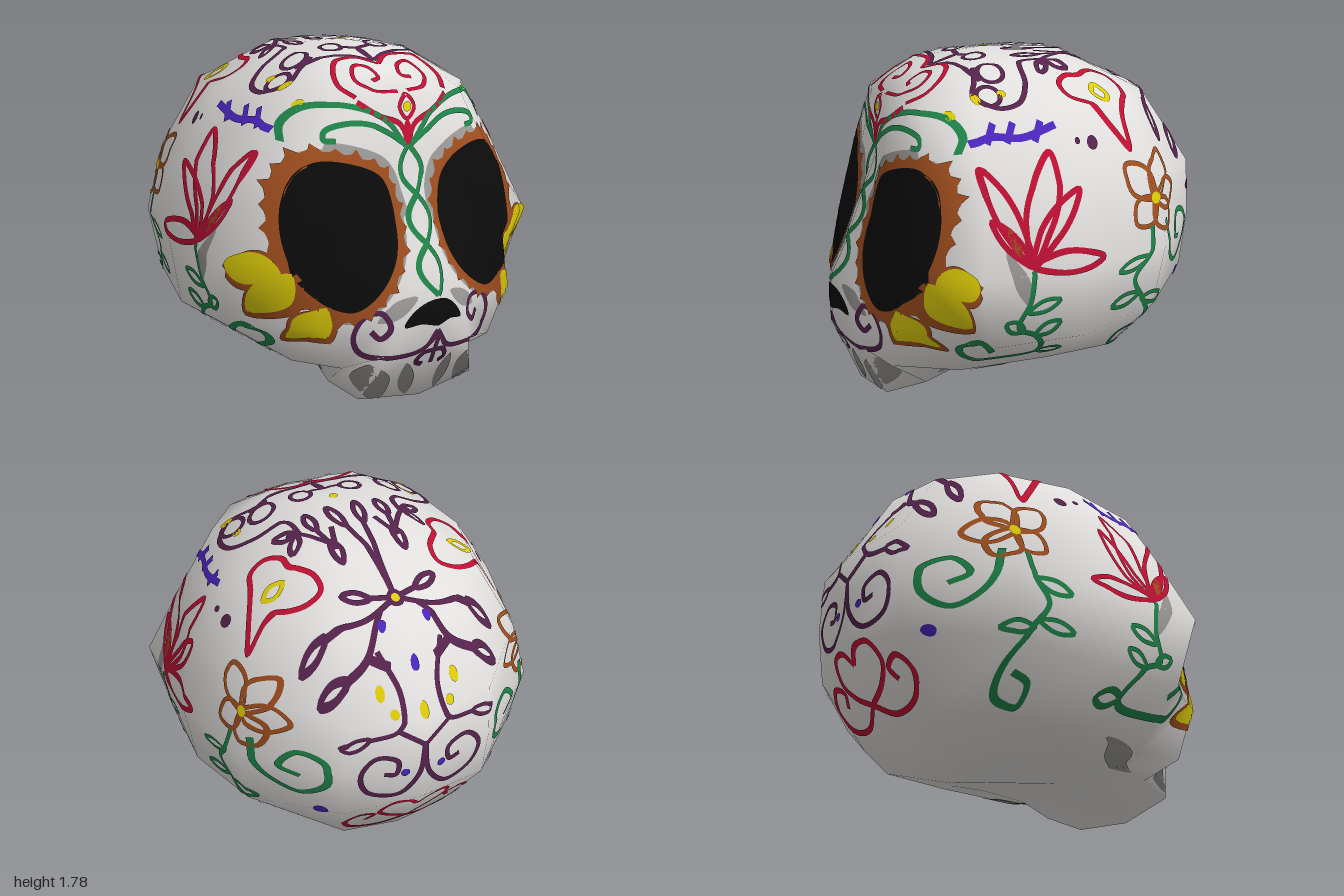
import * as THREE from 'three';

const paint = (name, color) => {
  const m = new THREE.MeshStandardMaterial({ color });
  m.name = name;
  return m;
};

export function createModel() {
  const model = new THREE.Group();
  model.name = 'paintedSkull';
  const bone = paint('bone', 0xe2e0de), grey = paint('greyShade', 0x9c9a98), black = paint('black', 0x0c0c0c);
  const orange = paint('burntOrange', 0xa04e1e), yellow = paint('yellow', 0xdccb08), green = paint('green', 0x1f8449);
  const red = paint('red', 0xbe1033), purple = paint('purple', 0x55224c), blue = paint('blue', 0x4a25bd);

  // Skull: rings from crown to jaw; heights at front, side and back, then half outline [x, z] from front to back
  const rings = [
    [[1.66, 1.72, 1.73], [[0, .5], [.13, .48], [.25, .42], [.31, .25], [.33, 0], [.3, -.2], [.17, -.31], [0, -.33]]],
    [[1.55, 1.54, 1.53], [[0, .7], [.2, .68], [.4, .62], [.58, .42], [.65, -.05], [.55, -.45], [.3, -.68], [0, -.75]]],
    [[1.25, 1.2, 1.1], [[0, .73], [.2, .75], [.57, .66], [.79, .43], [.86, -.05], [.74, -.55], [.39, -.93], [0, -1]]],
    [[.78, .8, .85], [[0, .91], [.2, .84], [.6, .76], [.96, .53], [.96, -.06], [.84, -.55], [.4, -.94], [0, -1]]],
    [[.6, .42, .6], [[0, 1], [.22, .93], [.59, .83], [.88, .45], [.9, -.05], [.78, -.52], [.4, -.9], [0, -1]]],
    [[.35, .18, .18], [[0, 1], [.25, .94], [.47, .83], [.54, .48], [.56, 0], [.53, -.4], [.3, -.68], [0, -.73]]],
    [[0, .13, .02], [[0, .85], [.36, .82], [.41, .62], [.36, .4], [.33, .1], [.28, -.15], [.15, -.23], [0, -.23]]],
  ];
  const pos = [], idx = [], N = 14;
  for (const [[yf, ys, yb], half] of rings) {
    for (let c = 0; c < N; c++) {
      const k = c < 8 ? c : N - c;
      const y = k < 4 ? yf + (ys - yf) * k / 3 : ys + (yb - ys) * (k - 4) / 3;
      pos.push(half[k][0] * (c < 8 ? 1 : -1), y, half[k][1]);
    }
  }
  const crown = rings.length * N, base = crown + 1, last = (rings.length - 1) * N;
  pos.push(0, 1.77, .13, 0, .13, .35);
  for (let c = 0; c < N; c++) {
    const d = (c + 1) % N;
    idx.push(crown, c, d, base, last + d, last + c);
    for (let r = 0; r < last; r += N) {
      const p = r + c, q = p + N, t = r + d, s = t + N;
      idx.push(...(c < 7 ? [p, q, s, p, s, t] : [p, q, t, q, s, t]));
    }
  }
  const skullGeo = new THREE.BufferGeometry();
  skullGeo.setAttribute('position', new THREE.Float32BufferAttribute(pos, 3));
  skullGeo.setIndex(idx);
  skullGeo.computeVertexNormals();
  const skull = new THREE.Mesh(skullGeo, bone);
  skull.name = 'skull';
  model.add(skull);

  // Lay a flat point onto the skull from one direction
  const ray = new THREE.Raycaster();
  const aim = {
    front: (u, v) => [[u, v, 4], [0, 0, -1], [0, .8]],
    back: (u, v) => [[u, v, -4], [0, 0, 1], [0, .8]],
    side: (u, v) => [[4, v, u], [-1, 0, 0], [0, .8]],
    top: (u, v) => [[u, 4, v], [0, -1, 0], [0, 0]],
  };
  const project = (view, u, v) => {
    for (let i = 0; i < 40; i++) {
      const [o, d, mid] = aim[view](u, v);
      ray.set(new THREE.Vector3(...o), new THREE.Vector3(...d));
      const hit = ray.intersectObject(skull)[0];
      if (hit) return hit;
      u += (mid[0] - u) * .015 + 1e-5;
      v += (mid[1] - v) * .015;
    }
    return { point: new THREE.Vector3(0, .8, 0), normal: new THREE.Vector3(0, 1, 0) };
  };
  // Grid of flat points (rows x cols) becomes a thin painted skin, repeated for each side
  const skin = (name, mat, view, grid, lift, sides) => {
    const hits = grid.flat().map(([u, v]) => project(view, u, v)), cols = grid[0].length;
    for (const s of sides) {
      const flip = p => new THREE.Vector3(p.x * s, p.y, p.z);
      const n = hits.map(h => flip(h.normal));
      const p = hits.map((h, i) => flip(h.point).addScaledVector(n[i], lift));
      const faces = [];
      const tri = (a, b, c) => {
        const f = p[b].clone().sub(p[a]).cross(p[c].clone().sub(p[a]));
        faces.push(...(f.dot(n[a]) > 0 ? [a, b, c] : [a, c, b]));
      };
      for (let r = 0; r < grid.length - 1; r++) for (let c = 0; c < cols - 1; c++) {
        const a = r * cols + c, b = a + cols;
        tri(a, b, b + 1);
        tri(a, b + 1, a + 1);
      }
      const g = new THREE.BufferGeometry().setFromPoints(p);
      g.setAttribute('normal', new THREE.Float32BufferAttribute(n.flatMap(q => q.toArray()), 3));
      g.setIndex(faces);
      const mesh = new THREE.Mesh(g, mat);
      mesh.name = name;
      model.add(mesh);
    }
  };
  const BOTH = [1, -1], ONE = [1];
  const curve = (pts, closed) => new THREE.CatmullRomCurve3(pts.map(([u, v]) => new THREE.Vector3(u, v, 0)), closed);
  // Brush line of even width
  const line = (name, mat, view, pts, { w = .028, closed = false, sides = BOTH, lift = .006 } = {}) => {
    const c = curve(pts, closed), n = Math.max(8, Math.ceil(c.getLength() / .016)), grid = [];
    for (let i = 0; i <= n; i++) {
      const p = c.getPoint(i / n), t = c.getTangent(i / n);
      grid.push([[p.x - t.y * w / 2, p.y + t.x * w / 2], [p.x + t.y * w / 2, p.y - t.x * w / 2]]);
    }
    skin(name, mat, view, grid, lift, sides);
  };
  // Filled shape between two scales of an outline
  const fill = (name, mat, view, outline, mid, { from = 0, to = () => 1, lift = .006, steps = 6, sides = BOTH } = {}) => {
    const grid = [];
    for (let k = 0; k <= steps; k++) grid.push(outline.map(([u, v], i) => {
      const f = from + (to(i, u, v) - from) * k / steps;
      return [mid[0] + (u - mid[0]) * f, mid[1] + (v - mid[1]) * f];
    }));
    skin(name, mat, view, grid, lift, sides);
  };
  const smooth = (pts, n) => curve(pts, true).getPoints(n).map(p => [p.x, p.y]);
  const circle = (u, v, r, n = 12) => Array.from({ length: n + 1 }, (_, i) =>
    [u + r * Math.cos(i * 2 * Math.PI / n), v + r * Math.sin(i * 2 * Math.PI / n)]);
  const leaf = ([a, b], [c, d], w) => {
    const at = (t, k) => [a + (c - a) * t - (d - b) * k, b + (d - b) * t + (c - a) * k];
    const k = w / 2 / Math.hypot(c - a, d - b);
    return [at(0, 0), at(.3, k * .8), at(.55, k), at(.8, k * .7), at(1, 0), at(.8, -k * .7), at(.55, -k), at(.3, -k * .8)];
  };
  const petal = (name, mat, view, a, b, w, o) =>
    fill(name, mat, view, smooth(leaf(a, b, w), 24), [(a[0] + b[0]) / 2, (a[1] + b[1]) / 2], { steps: 4, ...o });
  const loop = (name, mat, view, a, b, w, o) => line(name, mat, view, leaf(a, b, w), { closed: true, w: .024, ...o });
  const dot = (name, mat, view, u, v, r, o) => fill(name, mat, view, circle(u, v, r), [u, v], { steps: 2, ...o });

  // Eye sockets with a ragged orange border, grey shade and yellow petals
  const eye = smooth([[.55, 1.25], [.67, 1.12], [.71, .93], [.67, .72], [.57, .59], [.42, .53], [.27, .61],
    [.16, .77], [.135, .98], [.19, 1.16], [.35, 1.24]], 125);
  const mid = [.42, .9], tooth = [0, .05, .11, .03, .01];
  const rim = (i, u) => 1.11 + Math.max(0, u - .4) * .22 + tooth[i % 5] * (i % 10 < 5 ? 1 : .65);
  fill('eyeSocket', black, 'front', eye, mid, { lift: .008, steps: 10 });
  fill('eyeShade', grey, 'front', eye, mid, { from: 1.05, to: (i, u, v) => v > .95 && u < .45 ? 1.26 : 1.16, lift: .003, steps: 4 });
  fill('eyeBorder', orange, 'front', eye, mid, { from: .98, to: rim, lift: .007, steps: 5 });
  for (const [a, b, w] of [[[.71, .71], [.95, .8], .17], [[.67, .73], [.82, .52], .17], [[.55, .57], [.66, .38], .15]]) {
    petal('cheekPetalEdge', orange, 'front', [a[0] - .02, a[1]], [b[0] + .005, b[1] - .025], w + .05, { lift: .008 });
    petal('cheekPetal', yellow, 'front', a, b, w, { lift: .0125 });
  }

  // Nose, shaded teeth and the curls around the mouth
  fill('noseOpening', black, 'front', smooth([[0, .565], [.08, .54], [.15, .48], [.175, .43], [.09, .44], [0, .425],
    [-.09, .44], [-.175, .43], [-.15, .48], [-.08, .54]], 40), [0, .49], { lift: .008, sides: ONE });
  petal('noseShade', grey, 'front', [.1, .58], [.3, .46], .08, { lift: .003 });
  petal('toothShade', grey, 'front', [.14, .23], [.09, .03], .09);
  petal('toothShade', grey, 'front', [.33, .23], [.24, .03], .15);
  petal('jawShade', grey, 'side', [.55, .13], [.22, .2], .05);
  line('mouthCurl', purple, 'front', [[0, .4], [.08, .3], [.25, .28], [.38, .31], [.42, .4], [.37, .5], [.28, .51],
    [.24, .43], [.29, .38], [.33, .42]]);
  line('chinCurl', purple, 'front', [[0, .29], [.06, .28], [.09, .23], [.05, .21]]);
  line('chinStem', purple, 'front', [[0, .4], [0, .21]], { sides: ONE });

  // Green braid on the nose bridge and brow sprays
  line('noseBraid', green, 'front', Array.from({ length: 25 }, (_, i) => [.065 * Math.sin(i * Math.PI / 8), 1.3 - i * .03]));
  line('browSpray', green, 'front', [[.02, 1.3], [.15, 1.45], [.35, 1.52], [.5, 1.51], [.6, 1.43], [.62, 1.35]]);
  line('browSpray', green, 'front', [[.03, 1.31], [.12, 1.37], [.22, 1.42], [.34, 1.43], [.45, 1.4], [.46, 1.36], [.4, 1.35]]);

  // Forehead heart
  line('foreheadHeart', red, 'front', [[0, 1.32], [.05, 1.41], [.17, 1.46], [.27, 1.53]]);
  line('foreheadHeart', red, 'top', [[.27, .65], [.31, .55], [.25, .43], [.1, .39], [0, .46]]);
  line('foreheadScroll', red, 'top', [[.03, .67], [.15, .64], [.21, .56], [.17, .48], [.09, .5], [.07, .56], [.12, .58]], { w: .022 });
  petal('foreheadStem', red, 'front', [0, 1.43], [0, 1.29], .06, { sides: ONE });
  line('foreheadGem', red, 'front', [[0, 1.55], [.045, 1.49], [0, 1.43], [-.045, 1.49]], { closed: true, sides: ONE, w: .022 });
  dot('foreheadGemCentre', yellow, 'front', 0, 1.49, .026, { sides: ONE, lift: .009 });

  // Lotus and vine on the temples
  for (const [u, v, w] of [[.44, 1.29, .11], [.43, 1.06, .07], [.08, 1.35, .15], [-.03, 1.18, .1], [-.14, .84, .1]])
    loop('lotusPetal', red, 'side', [.25, .84], [u, v], w, { w: .03 });
  petal('lotusBud', orange, 'side', [.3, .88], [.35, 1.03], .05);
  petal('templeShade', grey, 'side', [.38, .92], [.25, .62], .08, { lift: .003 });
  line('templeVine', green, 'side', [[.25, .82], [.26, .66], [.31, .52], [.21, .46], [.15, .32], [.35, .3], [.52, .33],
    [.56, .41], [.49, .45], [.42, .38]]);
  for (const [a, b] of [[[.27, .6], [.1, .65]], [[.28, .5], [.38, .55]], [[.22, .47], [.09, .53]], [[.15, .33], [.01, .31]]])
    loop('templeLeaf', green, 'side', a, b, .06);

  // Side flower with its vine
  for (const [u, v] of [[.17, .18], [-.09, .21], [-.2, 0], [-.1, -.16], [.14, -.11]])
    loop('flowerPetal', orange, 'side', [-.51, 1.06], [-.51 + u, 1.06 + v], .15);
  dot('flowerCentre', yellow, 'side', -.51, 1.06, .03, { lift: .009 });
  line('flowerVine', green, 'side', [[-.47, .93], [-.45, .8], [-.36, .67], [-.43, .54], [-.5, .38], [-.47, .25],
    [-.36, .22], [-.36, .31], [-.45, .35]]);
  line('flowerScroll', green, 'side', [[-.58, .94], [-.64, .73], [-.75, .65], [-.86, .74], [-.86, .87], [-.75, .91],
    [-.7, .81], [-.77, .77]]);
  for (const [a, b] of [[[-.44, .78], [-.25, .73]], [[-.42, .54], [-.57, .53]], [[-.4, .58], [-.22, .54]]])
    loop('flowerLeaf', green, 'side', a, b, .06);

  // Blue ticks and scattered dots
  line('blueSprig', blue, 'side', [[.46, 1.4], [.35, 1.43], [.2, 1.42], [.02, 1.47]], { w: .034 });
  for (const u of [.38, .28, .14]) line('blueTick', blue, 'side', [[u, 1.4], [u - .05, 1.49]], { w: .034 });
  dot('purpleDot', purple, 'side', -.17, 1.37, .033);
  dot('purpleDot', purple, 'side', -.08, 1.39, .016);
  dot('templeDot', yellow, 'side', .51, 1.52, .024);
  dot('templeDot', yellow, 'side', .37, 1.59, .022);
  for (const [u, v] of [[0, -.85], [.12, -.72]]) dot('blueDot', blue, 'top', u, v, .022, { sides: u ? BOTH : ONE });
  for (const [u, v] of [[0, .12], [0, -.97], [.5, .23], [.2, -.88]])
    dot('yellowDot', yellow, 'top', u, v, .024, { sides: u ? BOTH : ONE });

  // Crown hearts
  line('crownHeart', red, 'top', [[.69, -.4], [.6, -.4], [.5, -.46], [.4, -.48], [.32, -.45], [.32, -.36], [.4, -.25],
    [.41, -.16], [.48, -.1], [.56, -.12], [.6, -.22], [.66, -.33]], { closed: true });
  line('crownHeartRing', yellow, 'top', [[.46, -.3], [.52, -.35], [.57, -.32], [.52, -.27]], { closed: true });

  // Crown scrollwork
  const crownLines = [
    [[0, -.62], [.2, -.68], [.4, -.65]], [[0, -.62], [.14, -.58]], [[.1, -.66], [.22, -.78], [.36, -.82]],
    [[.22, -.78], [.12, -.83]], [[0, -.6], [.01, -.42], [.05, -.12]], [[.17, -.3], [.12, -.12]],
    [[.17, -.28], [.2, -.1]], [[.18, -.24], [.28, -.1], [.34, -.06]],
    [[.28, -.1], [.3, .04], [.46, .08], [.57, .16], [.58, .28], [.48, .37], [.39, .33], [.3, .3]],
    [[0, .42], [.1, .37], [.28, .34], [.4, .3]], [[0, .42], [0, .27], [.06, .26], [.1, .24]],
  ];
  for (const pts of crownLines) line('crownScroll', purple, 'top', pts);
  for (const [a, b] of [[[.38, -.65], [.52, -.66]], [[.12, -.59], [.25, -.53]], [[.34, -.82], [.48, -.79]], [[.05, -.15], [.08, .04]],
    [[.17, -.22], [.17, -.38]], [[.2, -.12], [.2, .04]], [[.28, -.1], [.4, -.03]], [[.3, -.1], [.36, -.2]]])
    loop('crownLeaf', purple, 'top', a, b, .05, { w: .028 });
  for (const [u, v, r] of [[.14, .23, .055], [.36, .23, .065], [.5, .3, .06]]) line('crownRing', purple, 'top', circle(u, v, r), { w: .024 });
  dot('crownKnot', purple, 'top', 0, -.62, .045, { sides: ONE });
  dot('crownKnotCentre', yellow, 'top', 0, -.62, .022, { sides: ONE, lift: .009 });

  // Scrollwork and heart on the back of the head
  const backLines = [
    [[.17, 1.42], [.1, 1.22], [.14, 1.06], [.3, 1.03]], [[.14, 1.06], [0, .95]],
    [[0, .97], [.03, .76], [.14, .65], [.29, .69], [.33, .82], [.25, .91], [.14, .87], [.15, .79], [.21, .8]],
  ];
  for (const pts of backLines) line('backScroll', purple, 'back', pts);
  loop('backLeaf', purple, 'back', [.28, 1.04], [.42, .99], .06);
  dot('backBlueDot', blue, 'back', .1, .79, .024);
  dot('backBlueDot', blue, 'back', .49, .54, .03);
  dot('backYellowDot', yellow, 'back', .15, 1.15, .024);
  line('backHeart', red, 'back', [[0, .31], [.12, .38], [.19, .47], [.15, .57], [.06, .57], [0, .5]]);
  line('backHeartScroll', red, 'back', [[0, .31], [.13, .24], [.29, .28], [.35, .39], [.29, .47], [.21, .43], [.24, .37]]);

  return model;
}
